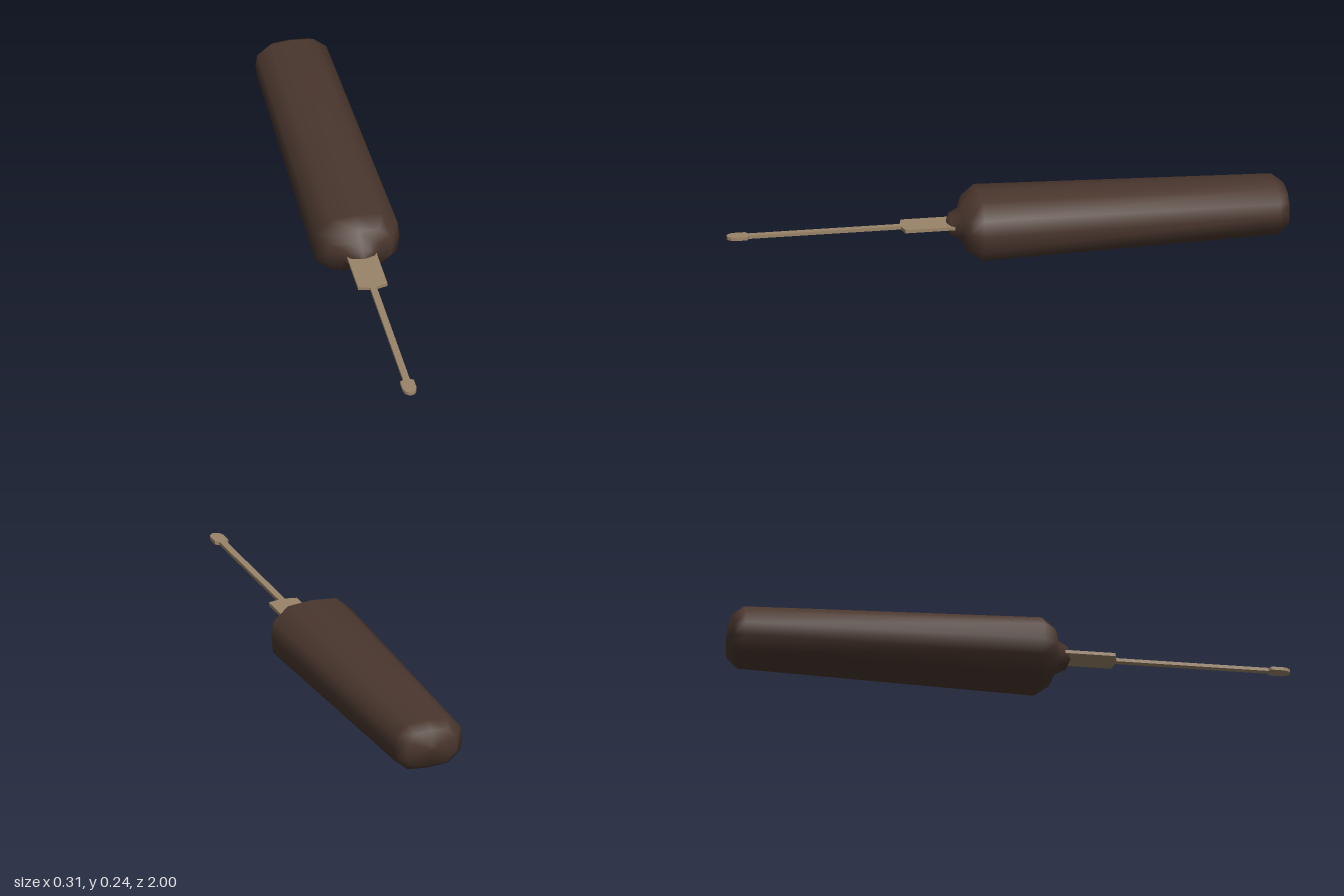
import * as THREE from 'three';

const MID_Y = 0.12;

// Lofts a mirrored twelve-sided section along z; each ring is [z, halfWidth, halfHeight]
function loft(rings) {
  const quarter = [[1, 0], [0.955, 0.5], [0.59, 0.93], [0, 1]];
  const section = [
    ...quarter,
    ...quarter.slice(0, 3).reverse().map(([x, y]) => [-x, y]),
    ...quarter.slice(1).map(([x, y]) => [-x, -y]),
    ...quarter.slice(1, 3).reverse().map(([x, y]) => [x, -y]),
  ];
  const n = section.length;
  const positions = [];
  const index = [];
  for (const [z, w, h] of rings) {
    for (const [x, y] of section) positions.push(x * w, y * h, z);
  }
  for (let i = 0; i < rings.length - 1; i++) {
    for (let j = 0; j < n; j++) {
      const k = (j + 1) % n;
      const a = i * n + j, b = i * n + k, c = a + n, d = b + n;
      index.push(a, b, c, b, d, c);
    }
  }
  const geometry = new THREE.BufferGeometry();
  geometry.setAttribute('position', new THREE.Float32BufferAttribute(positions, 3));
  geometry.setIndex(index);
  geometry.computeVertexNormals();
  return geometry;
}

export function createModel() {
  const group = new THREE.Group();
  const handleBrown = new THREE.MeshStandardMaterial({ color: 0x4a372e });
  const steelTan = new THREE.MeshStandardMaterial({ color: 0x9a8468 });

  // Tapered handle with rounded butt and a small nose around the tang
  const handle = new THREE.Mesh(loft([
    [-1.0, 0.001, 0.001],
    [-0.988, 0.095, 0.066],
    [-0.95, 0.13, 0.092],
    [0.105, 0.155, 0.118],
    [0.155, 0.118, 0.085],
    [0.17, 0.07, 0.05],
    [0.207, 0.045, 0.035],
    [0.222, 0.001, 0.001],
  ]), handleBrown);
  handle.name = 'handle';
  handle.position.y = MID_Y;
  group.add(handle);

  // Flat blade: wide tang, thin shaft and rounded tip, outlined on one side and mirrored
  const side = [
    [0.053, 0.14], [0.053, 0.372], [0.012, 0.382], [0.012, 0.922],
    [0.025, 0.93], [0.025, 0.972], [0.02, 0.988], [0.011, 0.997], [0.004, 1.0],
  ];
  const outline = [...side, ...side.map(([x, z]) => [-x, z]).reverse()];
  const bladeShape = new THREE.Shape(outline.map(([x, z]) => new THREE.Vector2(x, z)));
  const thickness = 0.012;
  const bladeGeometry = new THREE.ExtrudeGeometry(bladeShape, { depth: thickness, bevelEnabled: false });
  bladeGeometry.rotateX(Math.PI / 2);
  const blade = new THREE.Mesh(bladeGeometry, steelTan);
  blade.name = 'blade';
  blade.position.y = MID_Y + 0.002 + thickness / 2;
  group.add(blade);

  return group;
}
